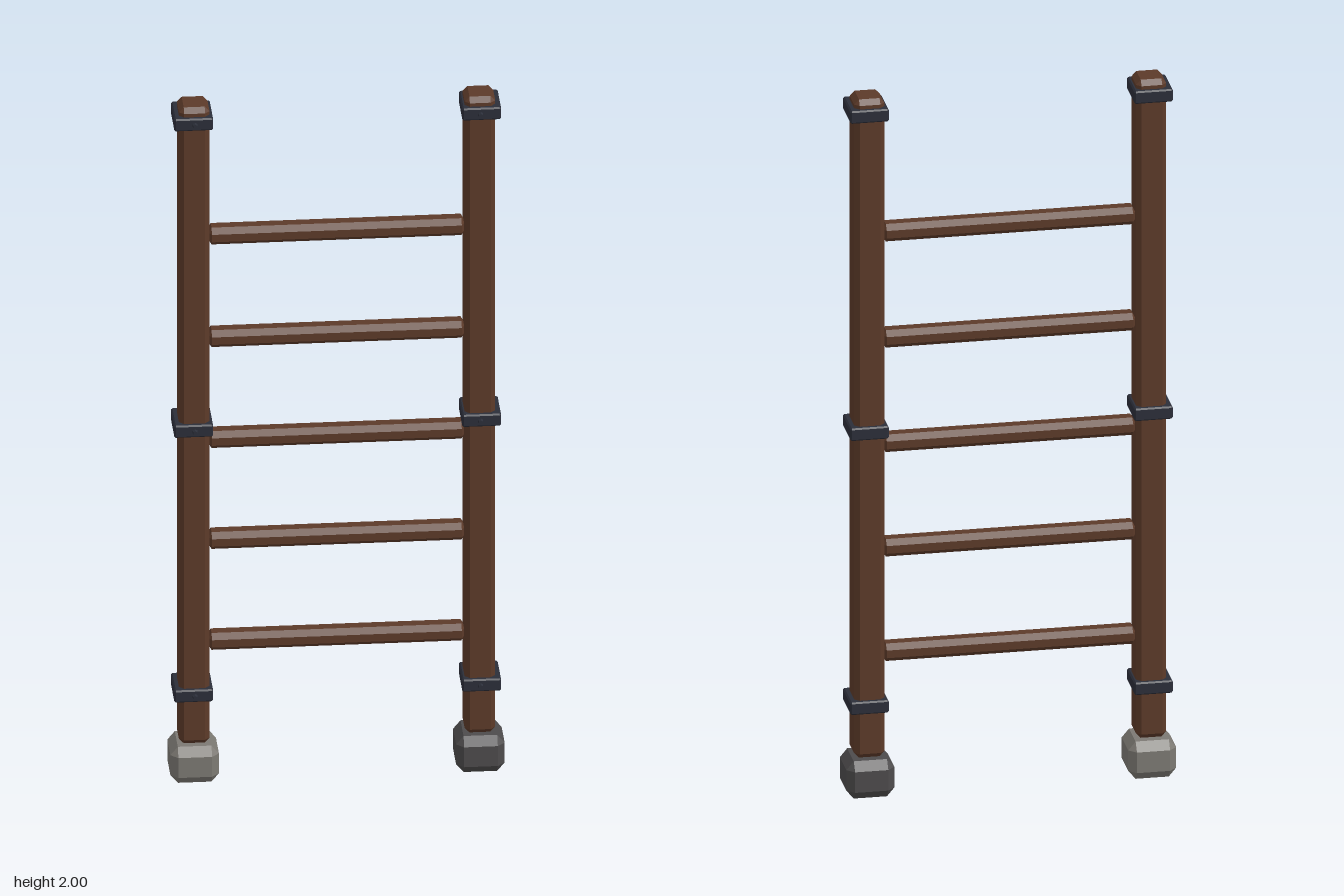
import * as THREE from 'three';
import { ConvexGeometry } from 'three/addons/geometries/ConvexGeometry.js';

const material = (name, color) => {
  const m = new THREE.MeshStandardMaterial({ color, flatShading: true });
  m.name = name;
  return m;
};

// Box with all edges and corners cut off; cx, cy, cz are the cuts along each axis
function chamferBox(w, h, d, cx, cy = cx, cz = cx) {
  const [x, y, z] = [w / 2, h / 2, d / 2];
  const points = [];
  for (const sx of [-1, 1]) for (const sy of [-1, 1]) for (const sz of [-1, 1]) {
    points.push(
      new THREE.Vector3(sx * x, sy * (y - cy), sz * (z - cz)),
      new THREE.Vector3(sx * (x - cx), sy * y, sz * (z - cz)),
      new THREE.Vector3(sx * (x - cx), sy * (y - cy), sz * z));
  }
  return new ConvexGeometry(points);
}

export function createModel() {
  const model = new THREE.Group();
  model.name = 'ladder';
  const wood = material('brown wood', 0x5c3a29);
  const iron = material('dark iron', 0x2b2e39);
  const paleStone = material('pale stone', 0x7c7973);
  const darkStone = material('dark stone', 0x4d4b4c);

  const add = (name, geometry, mat, x, y, z) => {
    const mesh = new THREE.Mesh(geometry, mat);
    mesh.name = name;
    mesh.position.set(x, y, z);
    model.add(mesh);
    return mesh;
  };

  const railGeo = chamferBox(0.082, 1.89, 0.09, 0.013, 0.014, 0.013);
  const footGeo = chamferBox(0.13, 0.107, 0.135, 0.02, 0.024, 0.02);
  const bandGeo = chamferBox(0.104, 0.036, 0.114, 0.004);
  const rivetGeo = new THREE.CylinderGeometry(0.006, 0.008, 0.012, 6).rotateX(Math.PI / 2);
  const rungGeo = chamferBox(0.684, 0.05, 0.06, 0.008, 0.014, 0.016);

  // Side rails with stone feet and riveted iron bands
  for (const [side, sx, stone] of [['right', -1, paleStone], ['left', 1, darkStone]]) {
    const x = sx * 0.382;
    add(side + 'Rail', railGeo, wood, x, 1.055, -0.002);
    add(side + 'Foot', footGeo, stone, x, 0.0535, -0.003);
    for (const y of [0.26, 1.047, 1.958]) {
      add(side + 'Band', bandGeo, iron, sx * 0.385, y, -0.002);
      add(side + 'Rivet', rivetGeo, iron, x, y, 0.059);
    }
  }

  // Rungs
  for (const y of [0.4, 0.7, 1.0, 1.3, 1.605]) add('rung', rungGeo, wood, 0, y, -0.003);

  return model;
}
